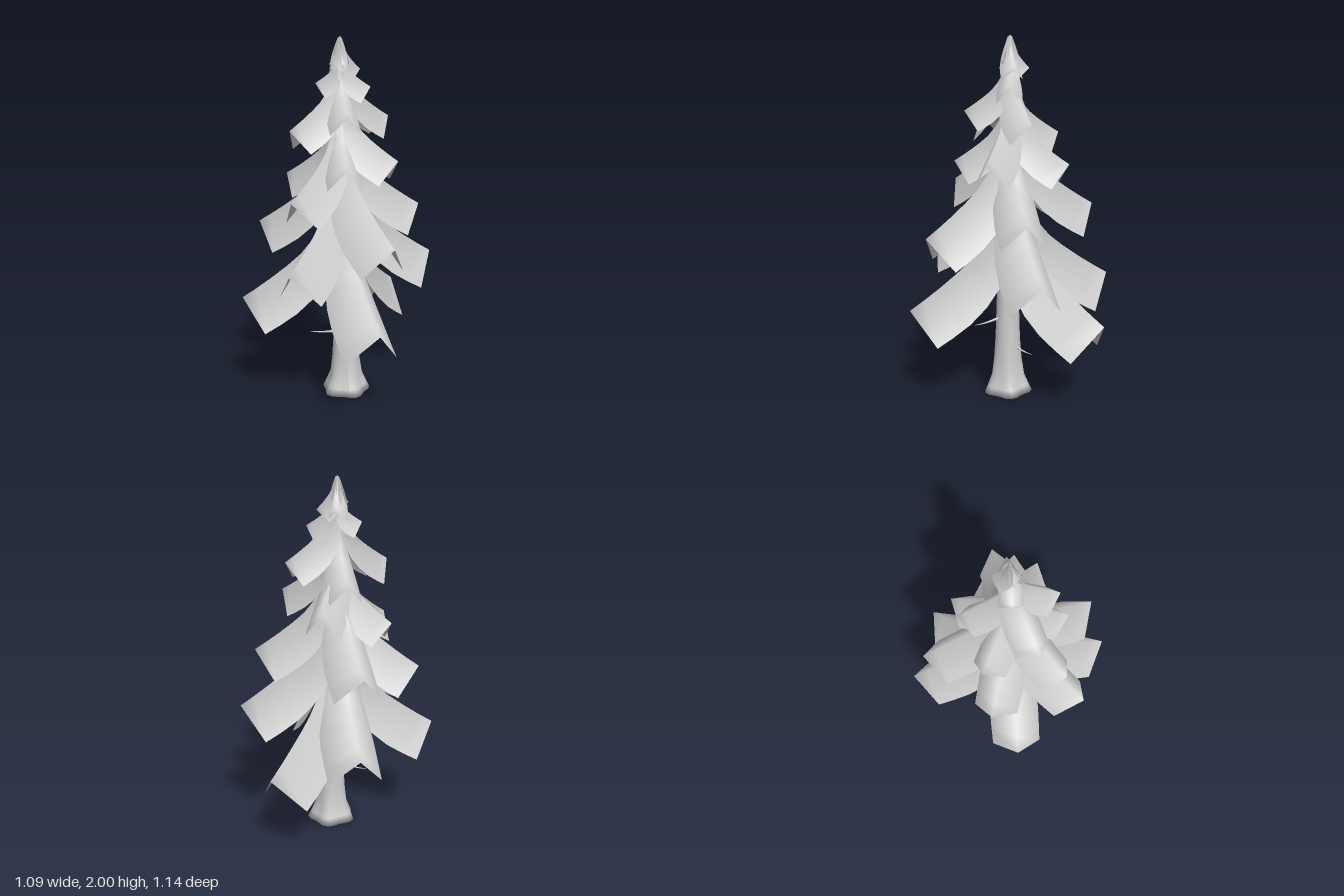
import * as THREE from 'three';

const material = new THREE.MeshStandardMaterial({ color: 0xcccccc, side: THREE.DoubleSide });

function addMesh(parent, name, geometry) {
  const mesh = new THREE.Mesh(geometry, material);
  mesh.name = name;
  parent.add(mesh);
  return mesh;
}

// Centre line of the slightly leaning trunk
function trunkCentre(y) {
  const k = 1 - (y / 2) ** 2;
  return new THREE.Vector3(0.032 * k, y, 0.018 * k);
}

// Ridge stations: [distance along reach, rise, width factor]
const RIDGE = [[1, 0, 1], [0.86, 0.09, 1.02], [0.7, 0.2, 1.03], [0.54, 0.32, 0.98],
  [0.4, 0.44, 0.87], [0.27, 0.6, 0.7], [0.16, 0.78, 0.48], [0.06, 1, 0.2]];

// Drooping bough: a card folded along a curved ridge, given by its tip
function boughGeometry(x, y, z, rise) {
  const reach = Math.hypot(x, z);
  const out = new THREE.Vector3(x / reach, 0, z / reach);
  const side = new THREE.Vector3(out.z, 0, -out.x);
  const halfWidth = 0.035 + 0.19 * reach;
  const fold = 0.05 + 0.28 * reach;
  const ridge = RIDGE.map(([r, h]) => [r * reach, y + h * rise]);
  const positions = [], index = [];
  ridge.forEach(([r, h], i) => {
    // Slope of the ridge sets the direction in which the sides hang
    const a = ridge[Math.max(i - 1, 0)], b = ridge[Math.min(i + 1, ridge.length - 1)];
    const slope = Math.min(Math.atan2(b[1] - a[1], a[0] - b[0]), 0.95);
    const f = RIDGE[i][2];
    for (const s of [-1, 0, 1]) {
      const hang = Math.abs(s) * fold * f;
      const p = out.clone().multiplyScalar(r - hang * Math.sin(slope))
        .addScaledVector(side, s * halfWidth * f);
      positions.push(p.x, h - hang * Math.cos(slope), p.z);
    }
    if (i === 0) return;
    for (let j = 0; j < 2; j++) {
      const q = (i - 1) * 3 + j;
      index.push(q, q + 1, q + 3, q + 1, q + 4, q + 3);
    }
  });
  const g = new THREE.BufferGeometry();
  g.setAttribute('position', new THREE.Float32BufferAttribute(positions, 3));
  g.setIndex(index);
  g.computeVertexNormals();
  return g;
}

function trunkGeometry() {
  const profile = [[0, 0], [0.128, 0], [0.112, 0.04], [0.09, 0.1], [0.078, 0.2], [0.07, 0.32],
    [0.064, 0.5], [0.052, 0.9], [0.036, 1.35], [0.016, 1.75], [0, 1.97]];
  const g = new THREE.LatheGeometry(profile.map(([r, y]) => new THREE.Vector2(r, y)), 24);
  const p = g.attributes.position;
  for (let i = 0; i < p.count; i++) {
    const x = p.getX(i), y = p.getY(i), z = p.getZ(i);
    // Root lobes fade out up the trunk
    const lobe = 1 + 0.09 * Math.cos(5 * Math.atan2(z, x)) * Math.max(0, 1 - y / 0.25);
    const c = trunkCentre(y);
    p.setXYZ(i, x * lobe + c.x, y, z * lobe + c.z);
  }
  g.computeVertexNormals();
  return g;
}

// Dead twig: sagging tapered tube from the trunk to its tip
function twigGeometry(x, y, z) {
  const tip = new THREE.Vector3(x, y, z);
  const root = trunkCentre(y + 0.03);
  const middle = root.clone().lerp(tip, 0.6);
  middle.y = y - 0.004;
  const curve = new THREE.QuadraticBezierCurve3(root, middle, tip);
  const rings = 8, sides = 6;
  const g = new THREE.TubeGeometry(curve, rings, 0.012, sides);
  const p = g.attributes.position, v = new THREE.Vector3();
  for (let i = 0; i < p.count; i++) {
    const t = Math.floor(i / (sides + 1)) / rings;
    const c = curve.getPointAt(t);
    v.fromBufferAttribute(p, i).sub(c).multiplyScalar(1 - 0.9 * t).add(c);
    p.setXYZ(i, v.x, v.y, v.z);
  }
  g.computeVertexNormals();
  return g;
}

// Bough tips [x, y, z], tier by tier from the bottom
const TIERS = {
  lowestBough: [[0.11, 0.54, 0.567], [-0.545, 0.59, 0], [0.4, 0.5, -0.445], [-0.055, 0.65, -0.57]],
  lowerBough: [[0.54, 0.78, -0.085], [-0.33, 0.82, 0.385], [0.2, 0.97, 0.475],
    [-0.43, 0.99, -0.135], [-0.08, 1.06, -0.48], [0.45, 1.08, -0.02]],
  middleBough: [[-0.3, 1.18, 0.27], [-0.27, 1.25, -0.165], [-0.015, 1.34, 0.3],
    [0.13, 1.33, -0.3], [0.285, 1.36, 0.165], [-0.03, 1.48, -0.27]],
  upperBough: [[-0.285, 1.53, 0.12], [0.28, 1.57, -0.07], [0, 1.61, 0.245]],
  topBough: [[-0.13, 1.76, -0.005], [0.16, 1.74, 0.03]],
  crownBough: [[0.11, 1.83, -0.01], [0.02, 1.83, -0.1], [-0.06, 1.86, 0.02], [0.015, 1.86, 0.055]],
};

export function createModel() {
  const tree = new THREE.Group();
  tree.name = 'coniferTree';
  addMesh(tree, 'trunk', trunkGeometry());

  // Boughs; the crown ones all run up to the apex
  for (const [name, tips] of Object.entries(TIERS)) {
    const tier = new THREE.Group();
    tier.name = name + 's';
    for (const [x, y, z] of tips) {
      const rise = name === 'crownBough' ? 2 - y : Math.min(Math.hypot(x, z) * 0.98, 1.98 - y);
      addMesh(tier, name, boughGeometry(x, y, z, rise));
    }
    tree.add(tier);
  }

  for (const [x, y, z] of [[-0.16, 0.335, -0.06], [0.165, 0.262, -0.1], [0.1, 0.43, 0.21], [0.17, 0.49, 0]])
    addMesh(tree, 'twig', twigGeometry(x, y, z));
  return tree;
}
